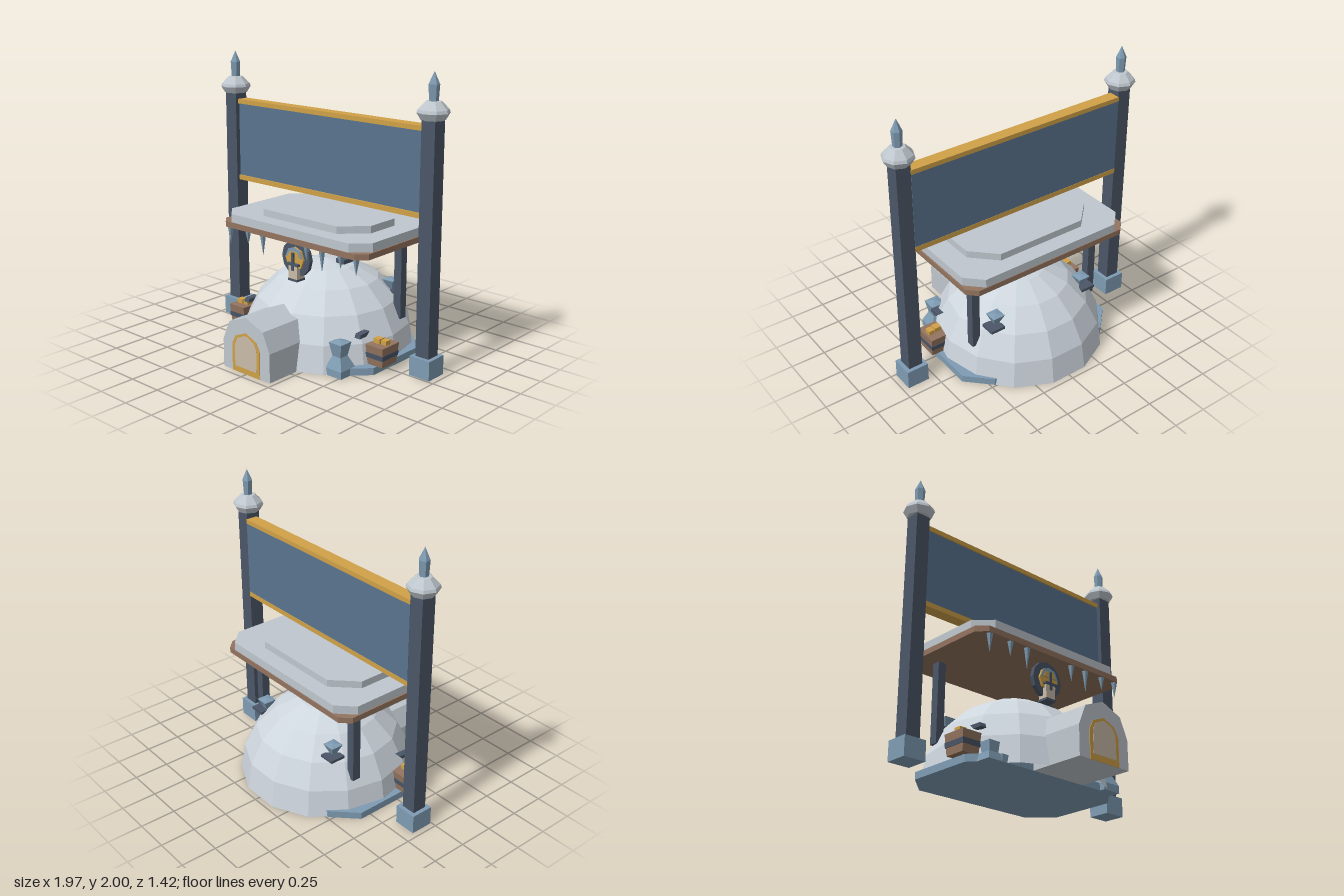
import * as THREE from 'three';

const mat = (name, color) => new THREE.MeshStandardMaterial({ name, color, flatShading: true });

export function createModel() {
  const M = {
    snow: mat('snow', 0xcdd5dd), stone: mat('paleStone', 0xbfc7ce), ice: mat('iceBlue', 0x7f9cb3),
    slate: mat('darkSlate', 0x4b5667), gold: mat('gold', 0xd0a148), wood: mat('wood', 0x93745f),
    cream: mat('cream', 0xcabca8), banner: mat('bannerBlue', 0x5a748f),
  };
  const root = new THREE.Group();
  const CZ = -0.09;

  const add = (name, geo, m, x = 0, y = 0, z = 0, parent = root) => {
    const mesh = new THREE.Mesh(geo, m);
    mesh.name = name;
    mesh.position.set(x, y, z);
    parent.add(mesh);
    return mesh;
  };
  // box given by its limits on each axis
  const box = (name, m, x0, x1, y0, y1, z0, z1, parent = root) =>
    add(name, new THREE.BoxGeometry(x1 - x0, y1 - y0, z1 - z0), m, (x0 + x1) / 2, (y0 + y1) / 2, (z0 + z1) / 2, parent);
  const poly = pts => new THREE.Shape(pts.map(p => new THREE.Vector2(p[0], p[1])));
  const extrude = (pts, depth) => new THREE.ExtrudeGeometry(poly(pts), { depth, bevelEnabled: false });
  const lathe = (pts, n) => new THREE.LatheGeometry(pts.map(p => new THREE.Vector2(p[0], p[1])), n);
  // flat slab with cut corners
  const slab = (name, m, hx, hz, c, y0, y1, z) => {
    const g = extrude([[-hx, -hz + c], [-hx + c, -hz], [hx - c, -hz], [hx, -hz + c],
      [hx, hz - c], [hx - c, hz], [-hx + c, hz], [-hx, hz - c]], y1 - y0);
    g.rotateX(-Math.PI / 2);
    return add(name, g, m, 0, y0, z);
  };

  // base plate, dome and entrance tunnel
  slab('basePlate', M.ice, 0.63, 0.4, 0.16, 0, 0.05, CZ);
  add('dome', new THREE.SphereGeometry(0.615, 14, 5, 0, Math.PI * 2, 0, Math.PI / 2), M.snow, 0, 0, -0.11);
  add('entranceTunnel', extrude([[-0.215, 0], [0.215, 0], [0.215, 0.2], [0.155, 0.335], [0, 0.397],
    [-0.155, 0.335], [-0.215, 0.2]], 0.42), M.stone, 0, 0, 0.28);
  const arch = (w, y0, y1, h) => [[-w, y0], [w, y0], [w, h], [w * 0.75, h + (y1 - h) * 0.6], [0, y1],
    [-w * 0.75, h + (y1 - h) * 0.6], [-w, h]];
  add('doorFrame', extrude(arch(0.127, 0, 0.29, 0.19), 0.004), M.gold, 0, 0, 0.7);
  add('doorPanel', extrude(arch(0.1, 0.04, 0.272, 0.19), 0.003), M.cream, 0, 0, 0.703);

  // layered roof on two rear pillars
  slab('roofBoard', M.wood, 0.655, 0.405, 0.065, 0.82, 0.86, -0.095);
  slab('roofSnow', M.stone, 0.645, 0.4, 0.11, 0.86, 0.92, -0.095);
  slab('roofTop', M.stone, 0.495, 0.285, 0.16, 0.92, 0.97, -0.095);
  for (const s of [-1, 1]) box('roofPillar', M.slate, s * 0.5 - 0.03, s * 0.5 + 0.03, 0.25, 0.82, -0.32, -0.26);

  // icicles along the front eave
  for (const [x, len] of [[-0.565, 0.13], [-0.39, 0.1], [-0.245, 0.15], [0.16, 0.11], [0.295, 0.15], [0.455, 0.09], [0.585, 0.11]]) {
    const g = new THREE.ConeGeometry(0.022, len, 5);
    g.rotateX(Math.PI);
    add('icicle', g, M.ice, x, 0.82 - len / 2, 0.285);
  }

  // round sign with a hanging lantern
  const sign = new THREE.Group();
  sign.name = 'lanternSign';
  root.add(sign);
  const disc = (name, m, r, z0, z1, n = 12) => {
    const g = new THREE.CylinderGeometry(r, r, z1 - z0, n);
    g.rotateX(Math.PI / 2);
    return add(name, g, m, 0, 0.69, (z0 + z1) / 2, sign);
  };
  disc('signDisc', M.slate, 0.128, 0.19, 0.22);
  disc('signInlay', M.gold, 0.082, 0.22, 0.235, 8);
  add('signArc', extrude([[-0.075, 0.7], [0.075, 0.7], [0.05, 0.755], [0, 0.77], [-0.05, 0.755]], 0.006), M.ice, 0, 0, 0.235, sign);
  add('signCrest', extrude([[-0.055, 0.7], [0.055, 0.7], [0.035, 0.74], [-0.035, 0.74]], 0.004), M.gold, 0, 0, 0.241, sign);
  box('lanternGlass', M.cream, -0.04, 0.04, 0.545, 0.65, 0.18, 0.25, sign);
  box('lanternCap', M.slate, -0.052, 0.052, 0.645, 0.66, 0.17, 0.26, sign);
  box('lanternFoot', M.slate, -0.042, 0.042, 0.535, 0.55, 0.175, 0.255, sign);
  box('lanternHanger', M.slate, -0.01, 0.01, 0.61, 0.735, 0.245, 0.256, sign);

  // tall posts with footings and finials
  for (const s of [-1, 1]) {
    const post = new THREE.Group();
    post.name = s > 0 ? 'leftPost' : 'rightPost';
    post.position.set(s * 0.88, 0, CZ);
    root.add(post);
    box('postFoot', M.ice, -0.08, 0.08, 0, 0.135, -0.08, 0.08, post);
    box('postShaft', M.slate, -0.052, 0.052, 0.135, 1.7, -0.052, 0.052, post);
    add('postCap', lathe([[0, 1.7], [0.08, 1.7], [0.107, 1.745], [0.1, 1.765], [0.052, 1.815], [0, 1.82]], 8), M.stone, 0, 0, 0, post);
    add('postSpire', lathe([[0.03, 1.81], [0.036, 1.92], [0, 2]], 6), M.ice, 0, 0, 0, post);
  }

  // banner between the posts
  box('bannerPanel', M.banner, -0.83, 0.83, 1.09, 1.63, -0.145, -0.07);
  box('bannerTopRail', M.gold, -0.83, 0.83, 1.625, 1.657, -0.147, -0.06);
  box('bannerBottomRail', M.gold, -0.83, 0.83, 1.06, 1.095, -0.147, -0.06);

  // crates, wider at the top, with a band and gold bars
  for (const [s, z] of [[1, 0.043], [-1, 0.11]]) {
    const crate = new THREE.Group();
    crate.name = s > 0 ? 'leftCrate' : 'rightCrate';
    crate.position.set(s * 0.615, 0, z);
    root.add(crate);
    const tub = (name, m, r0, r1, y0, y1) => {
      const g = new THREE.CylinderGeometry(r1 * Math.SQRT2, r0 * Math.SQRT2, y1 - y0, 4);
      g.rotateY(Math.PI / 4);
      g.scale(0.82, 1, 1);
      add(name, g, m, 0, (y0 + y1) / 2, 0, crate);
    };
    tub('crateBody', M.wood, 0.075, 0.088, 0.05, 0.19);
    tub('crateBand', M.slate, 0.084, 0.087, 0.1, 0.135);
    box('goldBar', M.gold, -0.05, 0.0, 0.19, 0.222, -0.02, 0.03, crate);
    box('goldBar', M.gold, 0.008, 0.05, 0.19, 0.22, -0.025, 0.025, crate);
  }

  // ice shards around the dome
  const shard = (name, pts, x, y, z, turn = Math.PI / 4) => {
    add(name, lathe(pts, 4), M.ice, x, y, z).rotation.y = turn;
  };
  shard('tallShard', [[0, 0], [0.1, 0], [0.1, 0.05], [0.05, 0.13], [0.075, 0.225], [0, 0.24]], 0.45, 0, 0.28);
  shard('shortShard', [[0, 0], [0.1, 0], [0.085, 0.05], [0.05, 0.06], [0.06, 0.13], [0, 0.135]], -0.51, 0, 0.24);
  for (const s of [-1, 1]) {
    shard('rearShard', [[0, 0], [0.02, 0], [0.065, 0.075], [0, 0.085]], s * 0.37, 0.405, -0.36);
    // dark slivers stuck in the dome
    add('rearSliver', extrude([[-0.05, 0], [0.06, 0], [0.06, 0.02], [-0.05, 0.02]], 0.11), M.slate, s * 0.39, 0.39, -0.43);
    const g = extrude([[-0.05, -0.015], [0.02, -0.015], [0.05, 0.015], [-0.04, 0.012]], 0.045);
    g.rotateY(Math.PI / 2);
    add('sideSliver', g, M.slate, s * 0.52 - 0.022, 0.255, 0.14);
  }
  box('topSliver', M.slate, 0.08, 0.155, 0.6, 0.63, -0.2, -0.1);

  return root;
}
